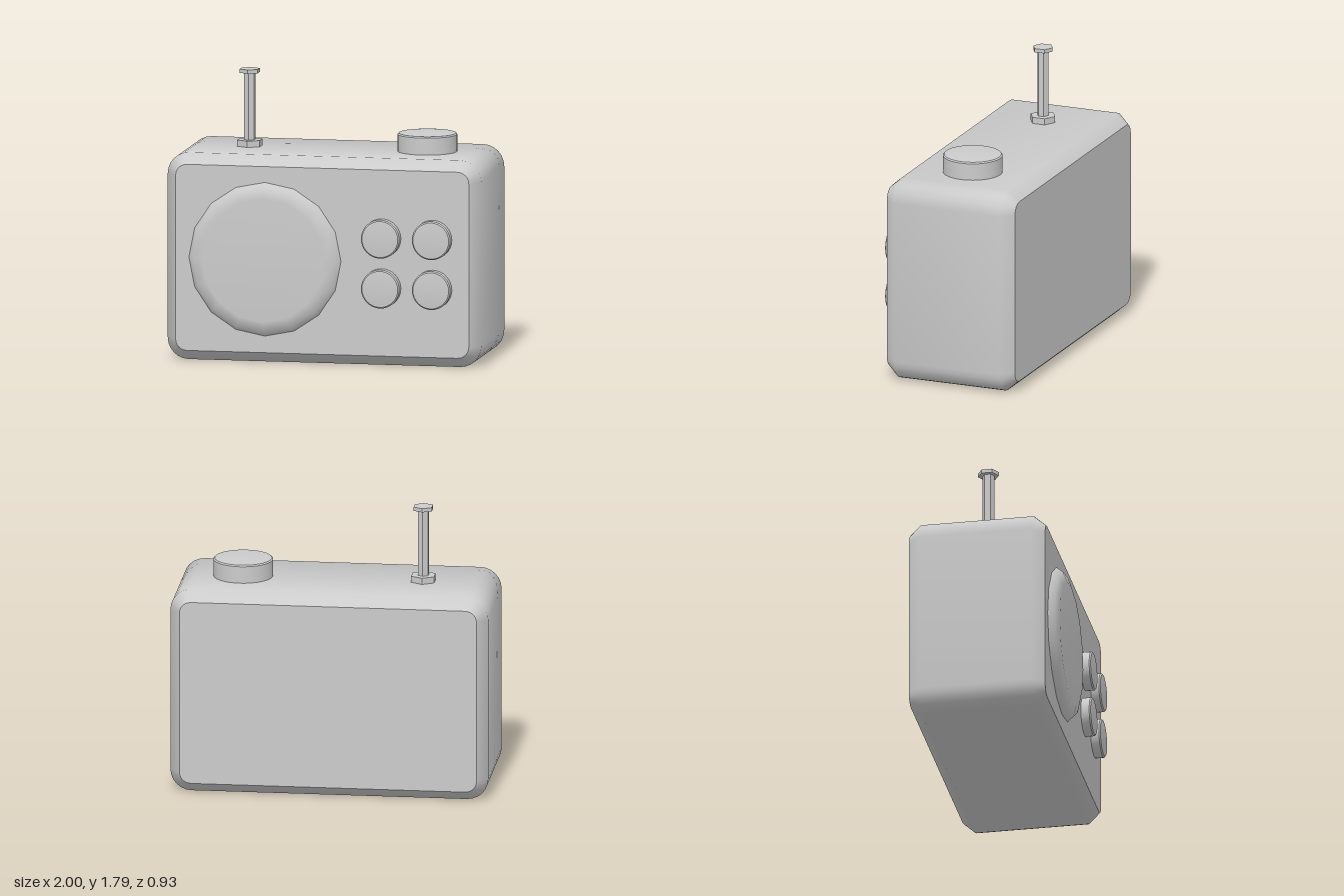
import * as THREE from 'three';
import { toCreasedNormals } from 'three/addons/utils/BufferGeometryUtils.js';

const W = 2, H = 1.305, FRONT = 0.4, BACK = -0.467;
const MID_Z = (FRONT + BACK) / 2;

const material = new THREE.MeshStandardMaterial({ color: 0xcccccc });
const flatMaterial = new THREE.MeshStandardMaterial({ color: 0xcccccc, flatShading: true });

function addMesh(parent, name, geometry, x, y, z, mat = material) {
  const mesh = new THREE.Mesh(geometry, mat);
  mesh.name = name;
  mesh.position.set(x, y, z);
  parent.add(mesh);
  return mesh;
}

// Rounded rectangle with faceted corners, extruded with one chamfer front and back
function caseGeometry() {
  const r = 0.135, chamfer = 0.065, depth = 0.075, x = W / 2;
  const s = new THREE.Shape();
  s.absarc(x - r, H - r, r, 0, Math.PI / 2);
  s.absarc(-x + r, H - r, r, Math.PI / 2, Math.PI);
  s.absarc(-x + r, r, r, Math.PI, Math.PI * 1.5);
  s.absarc(x - r, r, r, Math.PI * 1.5, Math.PI * 2);
  s.closePath();
  const g = new THREE.ExtrudeGeometry(s, {
    depth: FRONT - BACK - 2 * depth,
    curveSegments: 3,
    bevelSegments: 1,
    bevelThickness: depth,
    bevelSize: chamfer,
    bevelOffset: -chamfer,
  });
  g.translate(0, 0, BACK + depth);
  // Walls blend into the chamfer, the flat panels keep a sharp border
  return toCreasedNormals(g, THREE.MathUtils.degToRad(45));
}

function lathe(profile, sides) {
  return new THREE.LatheGeometry(profile.map(([r, y]) => new THREE.Vector2(r, y)), sides);
}

// Round cap with a thin bevel and a slightly domed top
function capGeometry(r, height, dome) {
  const bevel = 0.008, rim = height - dome;
  const profile = [[r, 0], [r, rim - bevel], [r - bevel, rim]];
  for (const t of [0.75, 0.5, 0.25, 0]) profile.push([(r - bevel) * t, rim + dome * (1 - t * t)]);
  return toCreasedNormals(lathe(profile, 32), 0.55);
}

export function createModel() {
  const radio = new THREE.Group();
  radio.name = 'radio';

  addMesh(radio, 'case', caseGeometry(), 0, 0, 0);

  // Speaker: low sixteen-sided disc with a soft rim
  const speaker = lathe([[0.485, 0], [0.455, 0.038], [0.39, 0.06], [0, 0.06]], 16);
  speaker.rotateX(Math.PI / 2);
  addMesh(radio, 'speaker', speaker, -0.365, 0.655, FRONT);

  // Two by two push buttons
  const button = capGeometry(0.122, 0.067, 0.006);
  button.rotateX(Math.PI / 2);
  for (const y of [0.81, 0.495])
    for (const x of [0.38, 0.705]) addMesh(radio, 'button', button, x, y, FRONT);

  // Dial on top
  addMesh(radio, 'dial', capGeometry(0.187, 0.123, 0.008), 0.583, H, MID_Z);

  // Hexagonal antenna
  const antenna = new THREE.Group();
  antenna.name = 'antenna';
  antenna.position.set(-0.55, H, MID_Z);
  const parts = [
    ['antennaBase', 0.083, 0, 0.04],
    ['antennaRod', 0.037, 0.04, 0.463],
    ['antennaTip', 0.066, 0.463, 0.487],
  ];
  for (const [name, r, y0, y1] of parts)
    addMesh(antenna, name, new THREE.CylinderGeometry(r, r, y1 - y0, 6), 0, (y0 + y1) / 2, 0, flatMaterial);
  radio.add(antenna);

  return radio;
}
